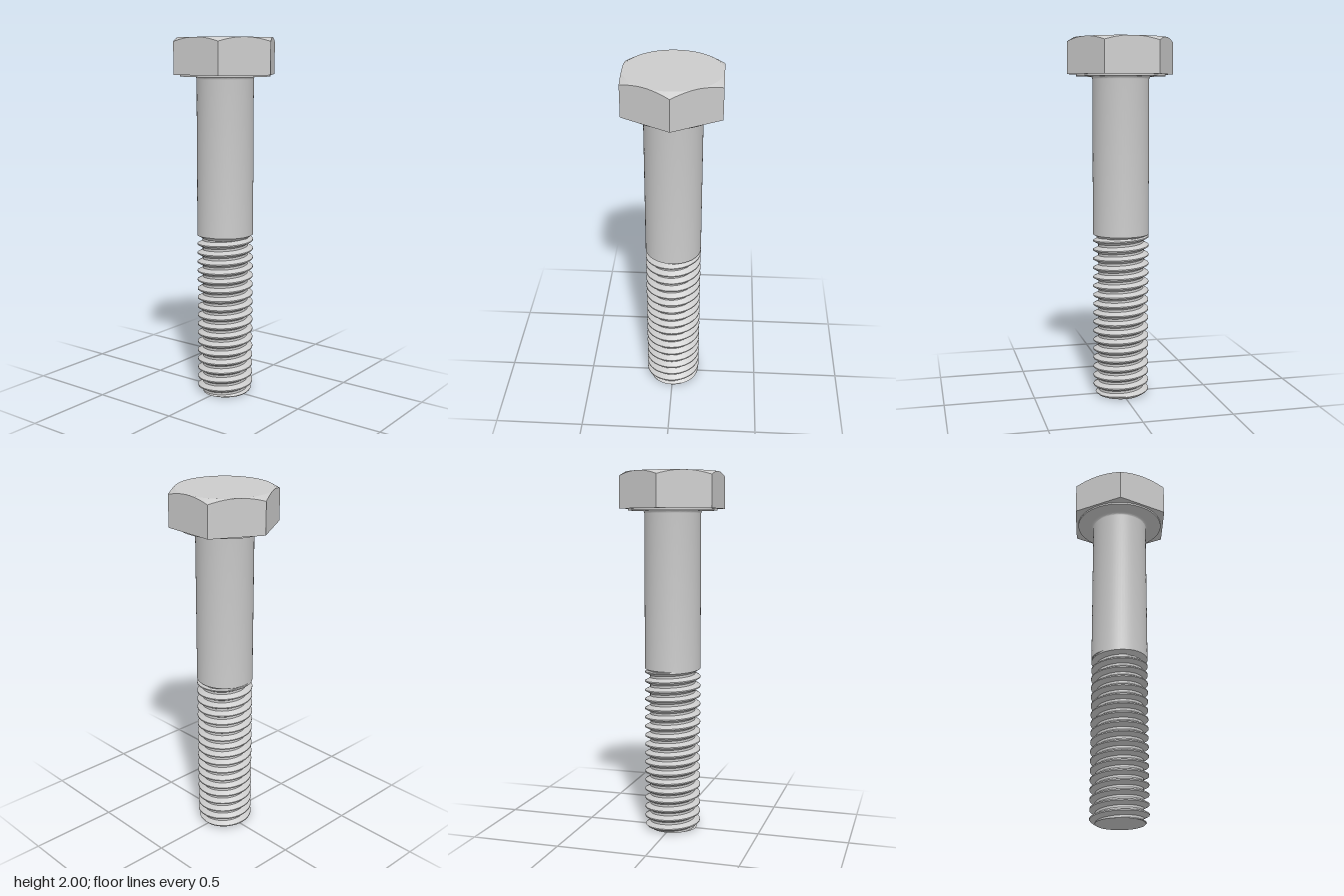
import * as THREE from 'three';
import { toCreasedNormals } from 'three/addons/utils/BufferGeometryUtils.js';

const R = 0.156;          // shank and thread crest radius
const ROOT = 0.127;       // thread root radius
const PITCH = 0.052;
const THREAD_TOP = 0.92;
const APOTHEM = 0.258;    // half the width across the flats
const clamp = THREE.MathUtils.clamp;

// Surface swept round the y axis; at(row, turn) gives [radius, y], rows run from top to bottom
function sweep(name, rows, segments, crease, at) {
  const positions = [], index = [];
  for (let i = 0; i < rows; i++) {
    for (let j = 0; j <= segments; j++) {
      const turn = j / segments, angle = (j % segments) / segments * Math.PI * 2;
      const [r, y] = at(i, turn);
      positions.push(r * Math.cos(angle), y, -r * Math.sin(angle));
      if (i === rows - 1 || j === segments) continue;
      const a = i * (segments + 1) + j, b = a + segments + 1;
      index.push(a, b, a + 1, b, b + 1, a + 1);
    }
  }
  const geometry = new THREE.BufferGeometry();
  geometry.setAttribute('position', new THREE.Float32BufferAttribute(positions, 3));
  geometry.setIndex(index);
  const mesh = new THREE.Mesh(
    toCreasedNormals(geometry, crease),
    new THREE.MeshStandardMaterial({ color: 0xcccccc })
  );
  mesh.name = name;
  return mesh;
}

// Hexagonal head with a conical top chamfer and a round bearing face below
function hexHead() {
  return sweep('hexHead', 7, 96, 0.3, (i, turn) => {
    const offset = ((turn * 6) % 1 - 0.5) * Math.PI / 3;
    const hex = APOTHEM / Math.cos(offset);
    return [
      [0, 2],
      [APOTHEM, 2],
      [hex, 2 - (hex - APOTHEM) * Math.tan(Math.PI / 6)],
      [hex, 1.803],
      [0.245, 1.803],
      [0.245, 1.793],
      [R, 1.793],
    ][i];
  });
}

// Plain shank with a small fillet under the head
function shank() {
  const profile = [];
  const fillet = 0.015;
  for (let k = 0; k <= 5; k++) {
    const a = k / 5 * Math.PI / 2;
    profile.push([R + fillet * (1 - Math.sin(a)), 1.793 - fillet * (1 - Math.cos(a))]);
  }
  profile.push([R, THREAD_TOP]);
  return sweep('shank', profile.length, 64, 0.6, (i) => profile[i]);
}

// Right-handed thread: rows follow the helix and are cut flat at both ends
function thread() {
  const steps = 16;
  const first = Math.ceil(THREAD_TOP / PITCH * steps);
  const rows = first + steps + 2;
  return sweep('thread', rows, 64, 0.5, (i, turn) => {
    if (i === rows - 1) return [0, 0];
    const y = clamp(PITCH * ((first - i) / steps + turn), 0, THREAD_TOP);
    const phase = (((y / PITCH - turn) % 1) + 1) % 1;
    const height = clamp((Math.abs(2 * phase - 1) - 0.25) / 0.625, 0, 1);
    const runout = R - (THREAD_TOP - y) * 1.5;
    const tip = 0.136 + y;
    return [Math.min(tip, Math.max(ROOT + (R - ROOT) * height, runout)), y];
  });
}

export function createModel() {
  const model = new THREE.Group();
  model.name = 'hexBolt';
  model.add(hexHead(), shank(), thread());
  return model;
}
